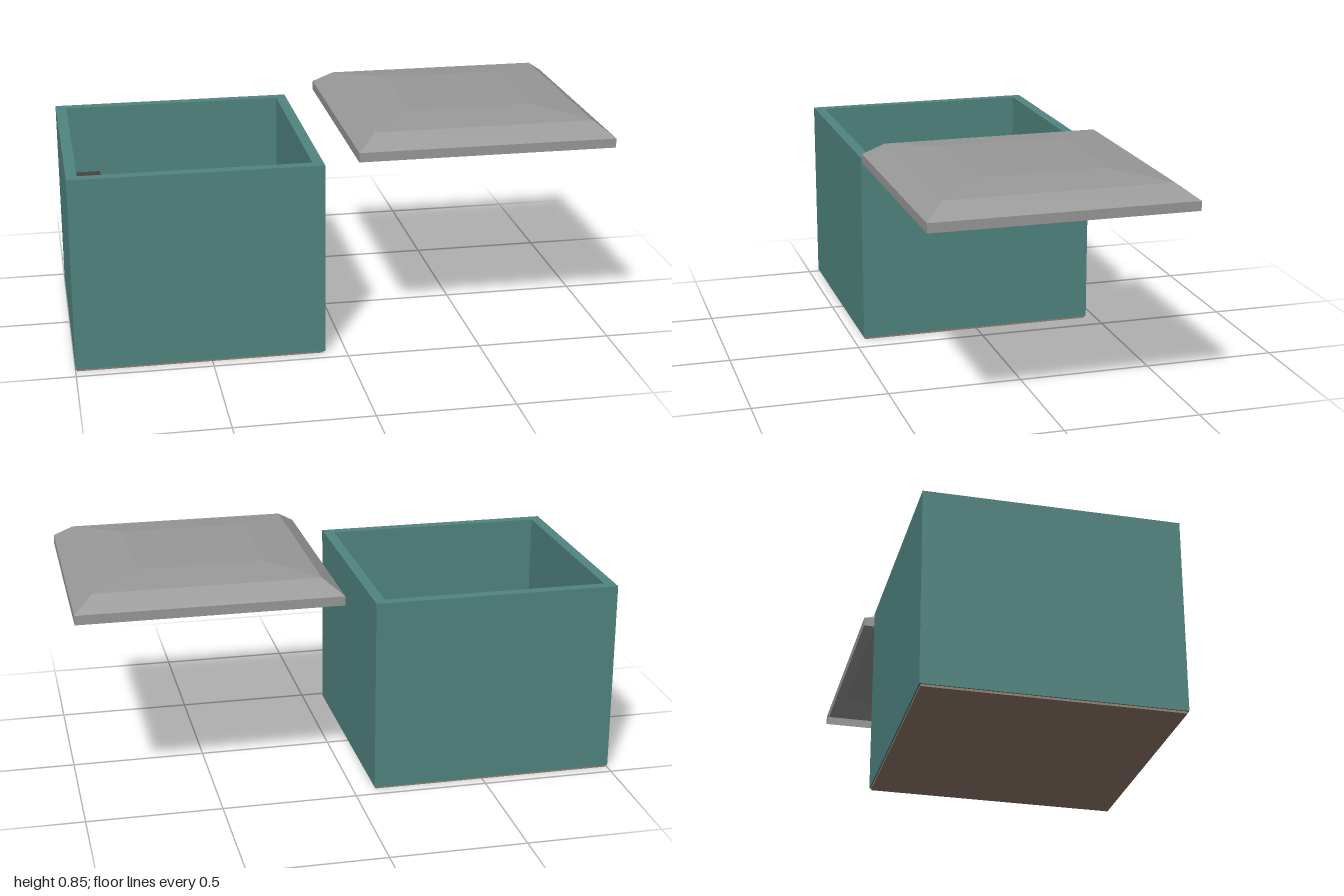
import * as THREE from 'three';

const mat = (color) => new THREE.MeshStandardMaterial({ color, flatShading: true, side: THREE.DoubleSide });
const TEAL = mat(0x508580), FLOOR = mat(0x9a8072), GREY = mat(0x999999);
const WOOD = mat(0x4a4340), DARK = mat(0x454545), BLACK = mat(0x111111);
const GLASS = mat(0xa0a8a4), FABRIC = mat(0x5a3d40);

// Box given by its minimum and maximum corners
function box(parent, name, material, [x0, y0, z0], [x1, y1, z1]) {
  const m = new THREE.Mesh(new THREE.BoxGeometry(x1 - x0, y1 - y0, z1 - z0), material);
  m.position.set((x0 + x1) / 2, (y0 + y1) / 2, (z0 + z1) / 2);
  m.name = name;
  parent.add(m);
  return m;
}

function group(parent, name) {
  const g = new THREE.Group();
  g.name = name;
  parent.add(g);
  return g;
}

const square = (Type, h) => new Type([[-h, -h], [h, -h], [h, h], [-h, h]].map(([x, y]) => new THREE.Vector2(x, y)));

// Open-topped room: floor slab and a ring of four walls
function addRoom(root) {
  const room = group(root, 'room');
  room.position.x = -0.54;
  box(room, 'floor', FLOOR, [-0.455, 0, -0.455], [0.455, 0.01, 0.455]);
  const ring = square(THREE.Shape, 0.46);
  ring.holes.push(square(THREE.Path, 0.42));
  const geo = new THREE.ExtrudeGeometry(ring, { depth: 0.727, bevelEnabled: false });
  const walls = new THREE.Mesh(geo.rotateX(-Math.PI / 2).translate(0, 0.008, 0), TEAL);
  walls.name = 'walls';
  room.add(walls);
}

// Hollow four-sided roof, lifted off and set beside the room
function addRoof(root) {
  const profile = [[0.48, 0.745], [0.48, 0.78], [0.41, 0.832], [0.235, 0.852], [0, 0.852]];
  const pts = profile.map(([r, y]) => new THREE.Vector2(r * Math.SQRT2, y));
  const roof = new THREE.Mesh(new THREE.LatheGeometry(pts, 4, Math.PI / 4), GREY);
  roof.position.x = 0.52;
  roof.name = 'roof';
  root.add(roof);
}

// Tall open-backed shelf against the side wall
function addBookshelf(root) {
  const shelf = group(root, 'bookshelf');
  const [x0, x1, z0, z1, top] = [-0.94, -0.84, -0.365, -0.05, 0.485];
  for (const z of [z0, z1 - 0.02]) box(shelf, 'sidePanel', WOOD, [x0, 0.01, z], [x1, top, z + 0.02]);
  for (let i = 0; i < 4; i++) {
    const y = 0.01 + i * (top - 0.03) / 3;
    box(shelf, 'shelfBoard', WOOD, [x0, y, z0 + 0.02], [x1, y + 0.02, z1 - 0.02]);
  }
}

// Low cabinet carrying a wide screen with a rounded column at each end
function addTelevision(root) {
  const tv = group(root, 'television');
  tv.position.set(-0.54, 0, -0.37);
  box(tv, 'cabinet', DARK, [-0.1, 0.01, -0.05], [0.1, 0.2, 0.04]);
  box(tv, 'screen', GLASS, [-0.13, 0.22, -0.006], [0.13, 0.39, 0.006]);
  for (const y of [0.2, 0.385]) box(tv, 'frameBar', BLACK, [-0.13, y, -0.01], [0.13, y + 0.022, 0.01]);
  const column = new THREE.Shape();
  column.absarc(0, 0.42, 0.024, 0, Math.PI);
  column.absarc(0, 0.19, 0.024, Math.PI, Math.PI * 2);
  const geo = new THREE.ExtrudeGeometry(column, { depth: 0.022, bevelEnabled: false, curveSegments: 8 });
  for (const s of [-1, 1]) {
    const m = new THREE.Mesh(geo, BLACK);
    m.position.set(s * 0.151, 0, -0.011);
    m.name = 'speakerColumn';
    tv.add(m);
  }
}

// Small corner sofa turned towards the room, with a deeper seat at one end
function addSofa(root) {
  const sofa = group(root, 'sofa');
  sofa.position.set(-0.888, 0.01, 0.139);
  sofa.rotation.y = -0.965;
  box(sofa, 'seat', FABRIC, [0, 0, -0.11], [0.25, 0.085, -0.016]);
  box(sofa, 'chaise', FABRIC, [0.14, 0, -0.13], [0.25, 0.085, -0.11]);
  // Leaning backrest drawn as a side profile
  const side = new THREE.Shape([[0, 0], [0.06, 0], [0.06, 0.1], [0.055, 0.18], [0.016, 0.18]]
    .map(([x, y]) => new THREE.Vector2(x, y)));
  const geo = new THREE.ExtrudeGeometry(side, { depth: 0.25, bevelEnabled: false });
  const back = new THREE.Mesh(geo.rotateY(Math.PI / 2), FABRIC);
  back.name = 'backrest';
  sofa.add(back);
}

export function createModel() {
  const root = new THREE.Group();
  root.name = 'roomWithRoof';
  addRoom(root);
  addRoof(root);
  addBookshelf(root);
  addTelevision(root);
  addSofa(root);
  return root;
}
